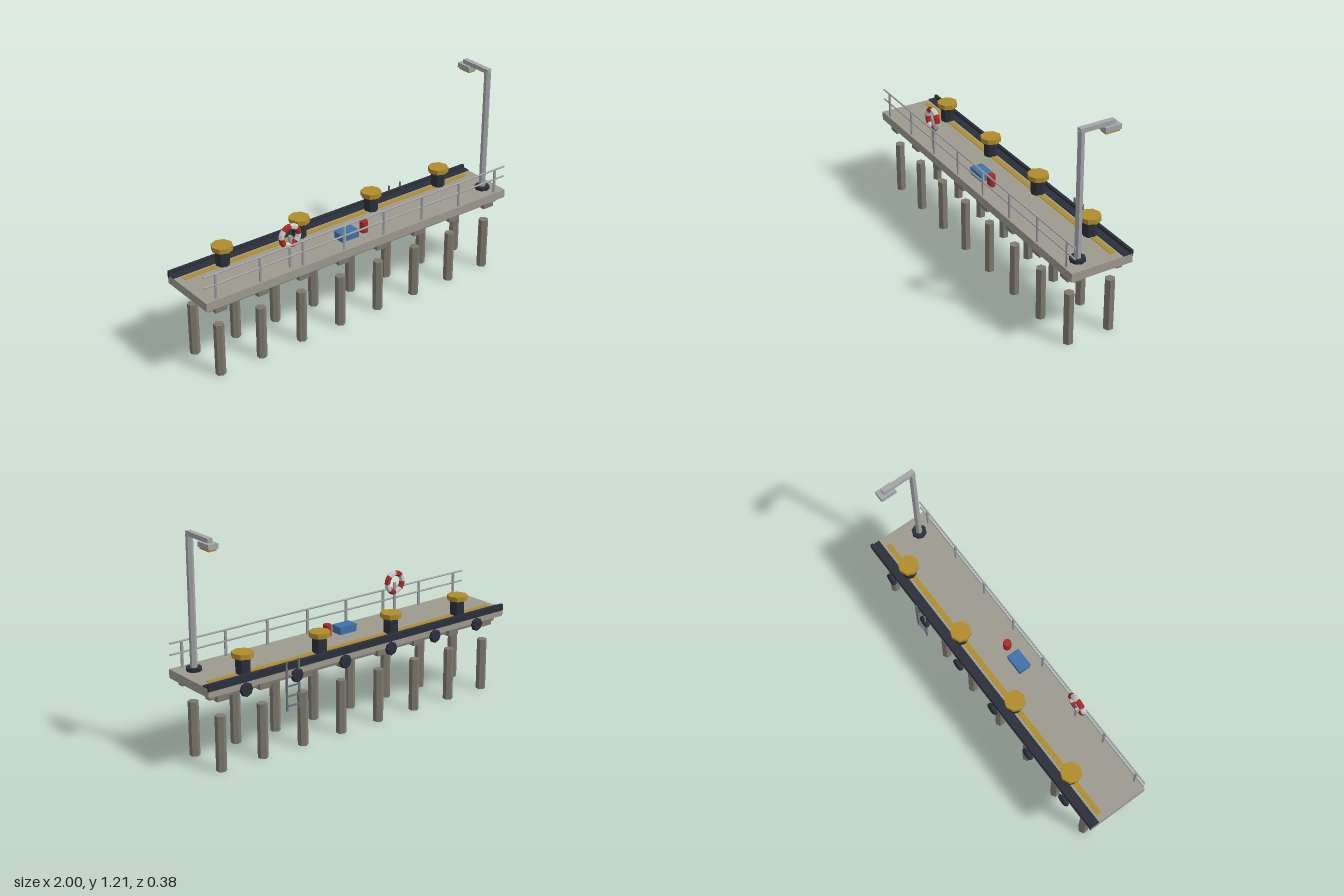
import * as THREE from 'three';

const mat = (color) => new THREE.MeshStandardMaterial({ color, flatShading: true });
const concrete = mat(0x9d998f), pileGrey = mat(0x7d796e), dark = mat(0x2a2f3a), yellow = mat(0xb08d2c);
const metal = mat(0xa3a5a8), steel = mat(0x6d737c), red = mat(0xa82a2a), white = mat(0xd8d8d4), blue = mat(0x4070a8);

export function createModel() {
  const root = new THREE.Group();
  const group = (name, x = 0, y = 0, z = 0) => {
    const g = new THREE.Group();
    g.name = name;
    g.position.set(x, y, z);
    root.add(g);
    return g;
  };
  const add = (parent, name, geo, m, x, y, z) => {
    const mesh = new THREE.Mesh(geo, m);
    mesh.name = name;
    mesh.position.set(x, y, z);
    parent.add(mesh);
    return mesh;
  };
  // Box and upright prism given by their extents
  const box = (p, name, m, x0, x1, y0, y1, z0, z1) => add(p, name,
    new THREE.BoxGeometry(x1 - x0, y1 - y0, z1 - z0), m, (x0 + x1) / 2, (y0 + y1) / 2, (z0 + z1) / 2);
  const prism = (p, name, m, r, y0, y1, sides, x = 0, z = 0) => add(p, name,
    new THREE.CylinderGeometry(r, r, y1 - y0, sides), m, x, (y0 + y1) / 2, z);

  // Deck with mooring edge and painted line
  const deck = group('deck');
  box(deck, 'deckSlab', concrete, -1, 1, 0.432, 0.48, -0.167, 0.19);
  box(deck, 'edgeStrip', dark, -1, 1, 0.48, 0.485, -0.168, -0.113);
  box(deck, 'edgeLip', dark, -1, 1, 0.465, 0.502, -0.17, -0.154);
  box(deck, 'safetyLine', yellow, -0.96, 0.95, 0.479, 0.483, -0.098, -0.07);

  // Long beams, pile caps and piles
  const supports = group('supports');
  for (const z of [0.134, -0.11]) {
    box(supports, 'beam', pileGrey, -0.97, 0.97, 0.4, 0.433, z - 0.018, z + 0.018);
    for (let i = 0; i < 8; i++) {
      const x = -0.9 + i * 1.8 / 7;
      box(supports, 'pileCap', pileGrey, x - 0.035, x + 0.035, 0.388, 0.433, z - 0.035, z + 0.035);
      prism(supports, 'pile', pileGrey, 0.028, 0, 0.3, 6, x, z);
    }
  }

  // Bollards
  for (const x of [-0.72, -0.232, 0.255, 0.74]) {
    const b = group('bollard', x, 0, -0.088);
    prism(b, 'bollardPost', dark, 0.039, 0.48, 0.57, 8);
    prism(b, 'bollardCap', yellow, 0.058, 0.567, 0.594, 8);
  }

  // Fenders along the back edge
  const fenderProfile = [[0, -0.012], [0.031, -0.012], [0.038, -0.005], [0.038, 0.005], [0.031, 0.012], [0, 0.012]]
    .map(([r, y]) => new THREE.Vector2(r, y));
  const fenderGeo = new THREE.LatheGeometry(fenderProfile, 8).rotateX(Math.PI / 2);
  const fenders = group('fenders');
  for (let i = 0; i < 6; i++) add(fenders, 'fender', fenderGeo, dark, -0.786 + i * 0.3144, 0.43, -0.18);

  // Ladder
  const ladder = group('ladder', 0.5, 0, -0.182);
  for (const s of [-1, 1]) prism(ladder, 'ladderRail', steel, 0.006, 0.25, 0.522, 6, s * 0.039);
  for (let i = 0; i < 4; i++) {
    const y = 0.275 + i * 0.054;
    box(ladder, 'rung', steel, -0.039, 0.039, y - 0.004, y + 0.004, -0.004, 0.004);
  }

  // Railing along the front edge
  const railing = group('railing', 0, 0, 0.174);
  for (let i = 0; i < 8; i++) prism(railing, 'railPost', metal, 0.008, 0.48, 0.62, 6, -0.93 + i * 1.86 / 7);
  for (const y of [0.62, 0.56]) {
    add(railing, 'rail', new THREE.CylinderGeometry(0.005, 0.005, 2, 6).rotateZ(Math.PI / 2), metal, 0, y, 0);
  }

  // Lifebuoy on its stand, in alternating segments
  const buoy = group('lifebuoy', -0.46, 0, 0.147);
  prism(buoy, 'buoyStand', metal, 0.009, 0.48, 0.66, 6);
  for (let i = 0; i < 8; i++) {
    const seg = add(buoy, 'buoySegment', new THREE.TorusGeometry(0.054, 0.016, 6, 2, Math.PI / 4),
      i % 2 ? white : red, 0, 0.66, 0);
    seg.rotation.z = i * Math.PI / 4;
  }

  // Storage box and drum
  const chest = group('storageBox');
  box(chest, 'chestBody', blue, -0.1, 0.01, 0.48, 0.512, 0.045, 0.115);
  box(chest, 'chestLid', blue, -0.102, 0.012, 0.512, 0.522, 0.043, 0.117);
  prism(root, 'drum', red, 0.023, 0.48, 0.544, 8, 0.068, 0.085);

  // Lamp post reaching back over the deck
  const lamp = group('lampPost', 0.91, 0, 0.098);
  prism(lamp, 'lampBase', dark, 0.042, 0.48, 0.498, 8);
  prism(lamp, 'lampPole', metal, 0.019, 0.48, 1.192, 6);
  box(lamp, 'lampArm', metal, -0.014, 0.014, 1.183, 1.207, -0.184, 0.012);
  box(lamp, 'lampHead', metal, -0.029, 0.029, 1.157, 1.184, -0.21, -0.118);
  box(lamp, 'lampLens', yellow, -0.022, 0.022, 1.146, 1.158, -0.204, -0.124);

  return root;
}
